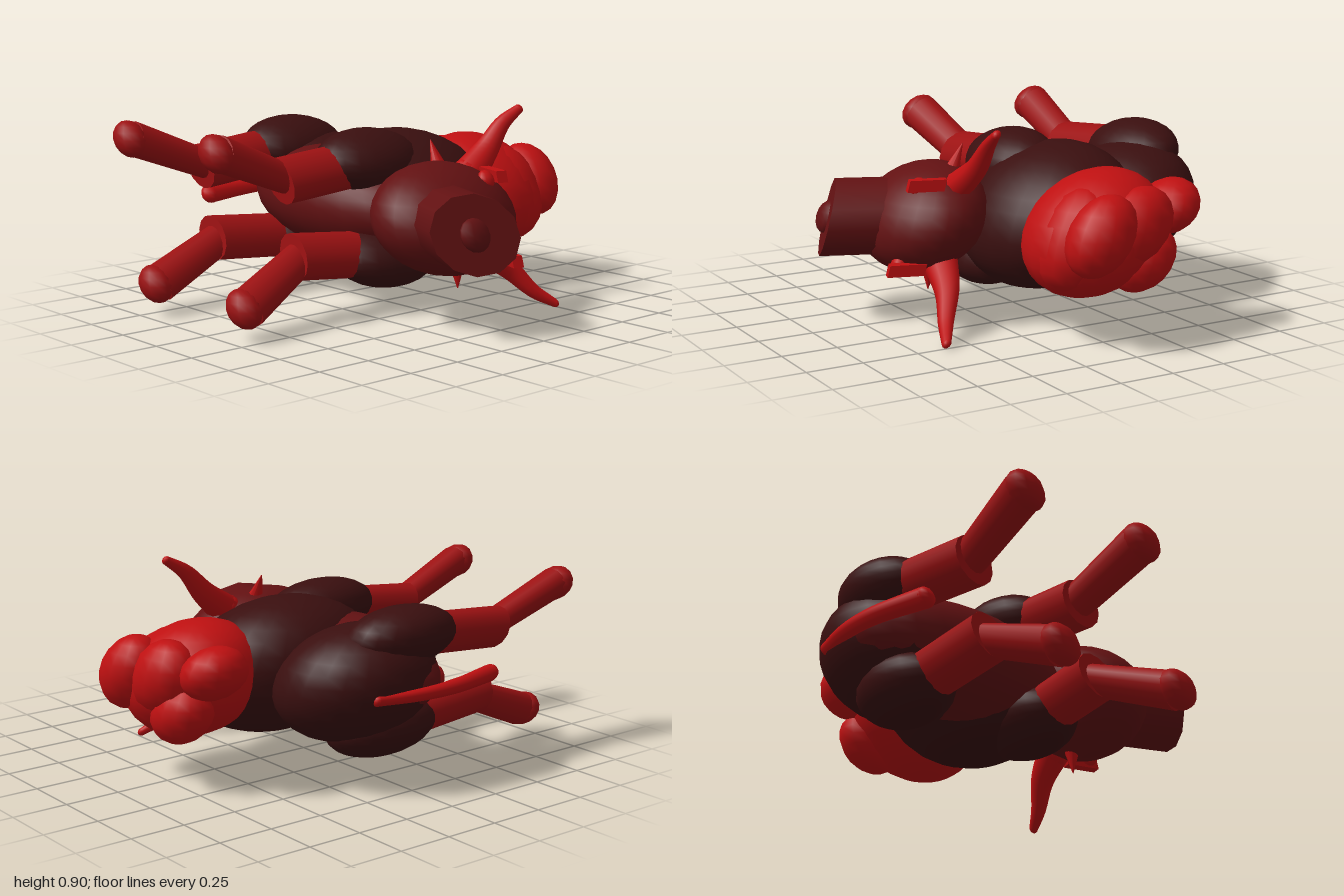
import * as THREE from 'three';

const mat = (name, color) => Object.assign(new THREE.MeshStandardMaterial({ color }), { name });
const V = (x, v, z) => new THREE.Vector3(x, v, z);

// The animal lies on its side: nose to +x, back to -z, feet to +z, width along y.
// Parts are placed around y = 0, then leaned and lifted onto the ground.
const LEAN = new THREE.Matrix4().set(1, -0.28, 0, 0, 0, 1, 0, 0.45, 0, 0, 1, 0, 0, 0, 0, 1);

export function createModel() {
  const group = new THREE.Group();
  const dark = mat('dark hide', 0x3a0f0f);
  const hide = mat('hide', 0x621112);
  const leg = mat('leg red', 0x9c1112);
  const bright = mat('bright red', 0xbe1011);

  const add = (name, geometry, material) => {
    geometry.applyMatrix4(LEAN);
    const mesh = new THREE.Mesh(geometry, material);
    mesh.name = name;
    group.add(mesh);
  };

  const blob = (name, material, c, r, w = 20, h = 14) =>
    add(name, new THREE.SphereGeometry(1, w, h).scale(...r).translate(...c), material);

  // Cylinder or cone from point a to point b
  const limb = (name, material, a, b, ra, rb, sides = 14, flat = 1) => {
    const d = b.clone().sub(a);
    const g = new THREE.CylinderGeometry(rb, ra, d.length(), sides);
    g.applyQuaternion(new THREE.Quaternion().setFromUnitVectors(V(0, 1, 0), d.normalize()));
    g.scale(1, flat, 1).translate(...a.clone().add(b).multiplyScalar(0.5));
    add(name, g, material);
  };

  // Curved tube whose radius runs from r0 to r1, with rounded ends
  const taper = (name, material, points, r0, r1) => {
    const curve = new THREE.CatmullRomCurve3(points);
    const n = 14, sides = 10;
    const g = new THREE.TubeGeometry(curve, n, 1, sides);
    const p = g.attributes.position;
    for (let i = 0; i < p.count; i++) {
      const t = Math.floor(i / (sides + 1)) / n;
      const c = curve.getPointAt(t);
      const q = V(p.getX(i), p.getY(i), p.getZ(i)).sub(c)
        .multiplyScalar(r0 + (r1 - r0) * t).add(c);
      p.setXYZ(i, q.x, q.y, q.z);
    }
    add(name, g, material);
    blob(name + 'Base', material, points[0].toArray(), [r0, r0, r0], 10, 8);
    blob(name + 'Tip', material, points[points.length - 1].toArray(), [r1, r1, r1], 10, 8);
  };

  // Trunk
  blob('belly', hide, [-0.26, 0, 0], [0.56, 0.24, 0.31], 24, 16);
  blob('chest', dark, [-0.06, 0, -0.19], [0.36, 0.32, 0.46], 24, 16);
  blob('rump', dark, [-0.51, 0, -0.12], [0.32, 0.27, 0.37], 24, 16);

  // Shaggy hump made of clumps
  blob('hump', bright, [-0.03, 0, -0.62], [0.3, 0.27, 0.31]);
  const clumps = [
    [0.1, 0.04, -0.86, 0.15, 0.17, 0.135], [-0.09, 0.05, -0.82, 0.17, 0.17, 0.13],
    [-0.31, 0.1, -0.73, 0.13, 0.12, 0.15], [-0.2, -0.1, -0.78, 0.15, 0.14, 0.13],
    [0.1, 0, -0.68, 0.16, 0.22, 0.2],
  ];
  for (const c of clumps) blob('humpClump', bright, c.slice(0, 3), c.slice(3), 14, 10);

  // Head, snout and nose
  blob('head', hide, [0.44, 0, 0.04], [0.26, 0.24, 0.36], 24, 16);
  limb('snout', hide, V(0.54, 0, 0.11), V(0.82, 0, 0.225), 0.2, 0.2, 12, 0.84);
  blob('nose', hide, [0.82, 0, 0.225], [0.04, 0.07, 0.08], 12, 8);

  // Tail
  taper('tail', bright, [V(-0.8, 0, -0.24), V(-0.835, 0, -0.05), V(-0.83, 0, 0.15),
    V(-0.765, 0, 0.42)], 0.025, 0.042);

  for (const s of [1, -1]) {
    // Horns, ears, eyes and brows
    taper('horn', bright, [V(0.42, s * 0.16, -0.17), V(0.43, s * 0.26, -0.3),
      V(0.46, s * 0.37, -0.4), V(0.49, s * 0.43, -0.49)], 0.072, 0.02);
    limb('ear', bright, V(0.4, s * 0.15, -0.03), V(0.365, s * 0.32, -0.03), 0.055, 0.002, 10);
    blob('eye', bright, [0.59, s * 0.165, -0.11], [0.035, 0.04, 0.04], 10, 8);
    add('brow', new THREE.BoxGeometry(0.16, 0.05, 0.05).rotateY(-0.3)
      .translate(0.58, s * 0.18, -0.17), bright);

    // Legs: x of the thigh, knee and hoof
    const legs = [['front', 0.03, 0.01, 0.08], ['rear', -0.6, -0.585, -0.57]];
    for (const [end, thigh, knee, foot] of legs) {
      const z = end === 'front' ? 0.07 : 0;
      blob(end + 'Thigh', dark, [thigh, s * 0.21, z], [0.175, 0.14, 0.275]);
      limb(end + 'UpperLeg', leg, V(thigh, s * 0.2, 0.12), V(knee, s * 0.16, 0.57), 0.1, 0.1);
      limb(end + 'LowerLeg', leg, V(knee, s * 0.17, 0.54), V(foot, s * 0.315, 0.91), 0.068, 0.08);
      blob(end + 'Hoof', leg, [foot, s * 0.315, 0.925], [0.088, 0.082, 0.07], 12, 8);
    }
  }
  return group;
}
